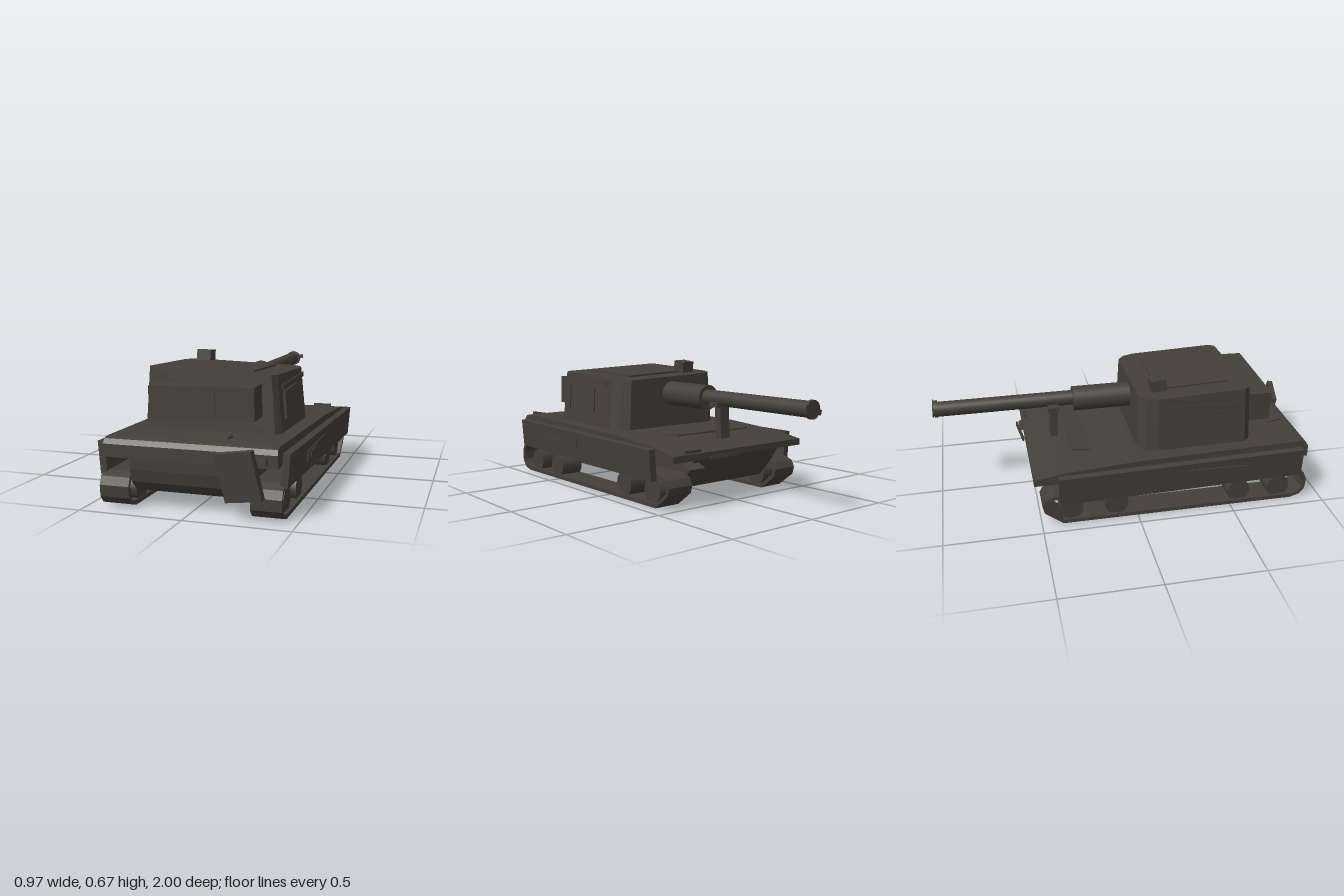
import * as THREE from 'three';

const steel = new THREE.MeshStandardMaterial({ color: 0x443f39 });
steel.name = 'dark weathered steel';

export function createModel() {
  const model = new THREE.Group();
  model.name = 'tank';

  const add = (name, geometry, x = 0, y = 0, z = 0, rx = 0, ry = 0, rz = 0) => {
    const mesh = new THREE.Mesh(geometry, steel);
    mesh.name = name;
    mesh.position.set(x, y, z);
    mesh.rotation.set(rx, ry, rz);
    model.add(mesh);
    return mesh;
  };
  const box = (name, size, pos, rot = [0, 0, 0]) =>
    add(name, new THREE.BoxGeometry(...size), ...pos, ...rot);
  const toShape = (pts) => new THREE.Shape(pts.map(([a, b]) => new THREE.Vector2(a, b)));

  // Extrudes a side outline given as (z, y) across the width
  const sideExtrude = (shape, width) => {
    const g = new THREE.ExtrudeGeometry(shape, { depth: width, bevelEnabled: false });
    g.translate(0, 0, -width / 2);
    g.rotateY(-Math.PI / 2);
    return g;
  };
  // Cylinder lying along z or x
  const rod = (name, r, length, pos, axis, sides = 20) => {
    const g = new THREE.CylinderGeometry(r, r, length, sides);
    if (axis === 'z') g.rotateX(Math.PI / 2);
    else g.rotateZ(Math.PI / 2);
    return add(name, g, ...pos);
  };

  // Hull: narrow lower tub and wide deck
  add('lowerHull', sideExtrude(toShape([
    [0.91, 0.57], [0.905, 0.5], [0.89, 0.44], [0.84, 0.39],
    [-0.38, 0.39], [-0.46, 0.48], [-0.52, 0.57],
  ]), 0.575));
  const deck = sideExtrude(toShape([
    [0.92, 0.555], [0.92, 0.615], [0.905, 0.638], [0.88, 0.645], [0, 0.635],
    [-0.38, 0.613], [-0.53, 0.588], [-0.53, 0.555],
  ]), 0.85);
  // The deck narrows slightly towards the front and along its top edge
  const dp = deck.attributes.position;
  for (let i = 0; i < dp.count; i++) {
    let k = 1 - 0.03 * (dp.getZ(i) + 0.53);
    if (dp.getZ(i) > 0.5 && dp.getY(i) > 0.62) k *= 0.99;
    dp.setX(i, dp.getX(i) * 1.02 * k);
  }
  deck.computeVertexNormals();
  add('deck', deck);

  // Tracks: closed bands made by insetting one outline
  const outline = [
    [0.84, 0.315], [0.89, 0.33], [0.918, 0.365], [0.922, 0.42], [0.905, 0.46], [0.86, 0.48],
    [-0.43, 0.482], [-0.475, 0.465], [-0.495, 0.43], [-0.485, 0.39], [-0.39, 0.317],
  ];
  const n = outline.length;
  const inset = outline.map(([z, y], i) => {
    const a = outline[(i + n - 1) % n], b = outline[(i + 1) % n];
    const dz = b[0] - a[0], dy = b[1] - a[1], len = Math.hypot(dz, dy);
    return new THREE.Vector2(z - (dy / len) * 0.019, y + (dz / len) * 0.019);
  });
  for (const p of inset) p.y = Math.max(p.y, 0.336);

  for (const s of [1, -1]) {
    const side = s > 0 ? 'left' : 'right';
    const band = toShape(outline);
    band.holes.push(new THREE.Path(inset));
    add(side + 'Track', sideExtrude(band, 0.145), s * 0.362, 0, 0);

    // Road wheels
    for (const [z, y] of [[0.77, 0.385], [0.55, 0.382], [-0.11, 0.39], [-0.345, 0.392]])
      rod(side + 'Wheel', 0.062, 0.125, [s * 0.355, y, z], 'x');

    // Skirts lean outwards and flare towards the rear
    box(side + 'Skirt', [0.034, 0.155, 1.29], [s * 0.45, 0.537, 0.235], [-0.006, -s * 0.02, -s * 0.08]);
    box(side + 'SkirtPanel', [0.006, 0.05, 0.33], [s * 0.468, 0.548, 0.415], [0.04, -s * 0.02, -s * 0.08]);

    // Turret side plates
    box(side + 'TurretHatch', [0.008, 0.13, 0.25], [s * 0.337, 0.77, 0.4], [0.05, 0, s * 0.07]);
    box(side + 'TurretStrip', [0.007, 0.022, 0.4], [s * 0.336, 0.862, 0.36], [0.04, 0, s * 0.07]);
    box(side + 'TurretRail', [0.006, 0.17, 0.02], [s * 0.342, 0.79, 0.52], [0, 0, s * 0.08]);
  }
  box('skirtSliver', [0.006, 0.02, 0.2], [0.474, 0.55, 0.48], [0, 0.05, 0]);

  // Turret: chamfered plan, tapered upwards with a sloping roof
  const plan = [
    [-0.275, 0.025], [0.28, 0.025], [0.325, 0.06], [0.345, 0.12], [0.345, 0.59], [0.32, 0.62],
    [-0.32, 0.62], [-0.345, 0.59], [-0.345, 0.12], [-0.325, 0.06],
  ];
  const turret = new THREE.ExtrudeGeometry(toShape(plan.map(([x, z]) => [x, -z])),
    { depth: 1, bevelEnabled: false });
  turret.rotateX(-Math.PI / 2);
  const tp = turret.attributes.position;
  for (let i = 0; i < tp.count; i++) {
    const x = tp.getX(i), z = tp.getZ(i);
    if (tp.getY(i) > 0.5)
      tp.setXYZ(i, x * 0.935 - 0.003, 0.917 - 0.03 * x + 0.035 * (z - 0.32), 0.32 + (z - 0.32) * 0.965);
    else tp.setY(i, 0.625);
  }
  turret.computeVertexNormals();
  add('turret', turret);
  box('roofPanel', [0.4, 0.009, 0.38], [-0.01, 0.922, 0.34], [-0.035, 0, -0.03]);
  box('periscope', [0.075, 0.07, 0.08], [-0.195, 0.944, 0.15], [-0.1, 0, -0.02]);

  // Stowage bin on the turret face
  box('stowageBin', [0.515, 0.155, 0.125], [0, 0.795, 0.69], [0.02, 0, 0.02]);
  box('stowageBinPlate', [0.3, 0.1, 0.008], [-0.08, 0.8, 0.755], [0.02, 0, 0]);
  box('stowageBinMount', [0.3, 0.08, 0.06], [0, 0.79, 0.62]);

  // Gun
  rod('gunSleeve', 0.065, 0.31, [-0.013, 0.815, -0.115], 'z', 24);
  rod('gunBarrel', 0.039, 0.73, [-0.007, 0.819, -0.615], 'z', 24);
  rod('muzzleCollar', 0.045, 0.018, [-0.003, 0.82, -0.982], 'z', 24);
  box('muzzlePlate', [0.11, 0.025, 0.006], [0.005, 0.82, -0.996], [0, 0, 0.3]);

  // Travel lock under the barrel
  box('travelLockPost', [0.06, 0.18, 0.04], [-0.015, 0.705, -0.375], [0.06, 0, 0]);
  box('travelLockCradle', [0.14, 0.025, 0.055], [-0.018, 0.79, -0.38]);

  // Loose plates on the deck
  box('rearDeckPanel', [0.48, 0.008, 0.1], [-0.01, 0.636, -0.265], [0.1, 0, 0.01]);
  box('frontDeckGrille', [0.34, 0.008, 0.085], [-0.01, 0.653, 0.805], [-0.09, 0.05, 0.01]);
  for (const dz of [-0.022, 0.018])
    box('grilleSlat', [0.2, 0.008, 0.014], [0.055, 0.66, 0.805 + dz], [-0.09, 0.1, 0.01]);

  // Fittings on the rear edge
  box('rearBar', [0.19, 0.02, 0.008], [0.135, 0.565, -0.55], [0.2, 0.12, 0]);
  box('rearFlap', [0.1, 0.012, 0.07], [0.3, 0.525, -0.51], [-0.4, 0, 0]);
  box('rearStep', [0.1, 0.02, 0.015], [0.3, 0.595, -0.51]);

  // Bent plate hanging off the front corner
  box('hangingPlate', [0.185, 0.225, 0.03], [0.252, 0.52, 0.955], [0.14, -0.18, 0.2]);
  box('frontBracket', [0.05, 0.03, 0.03], [0.345, 0.58, 0.925], [0, 0, 0.15]);

  return model;
}
